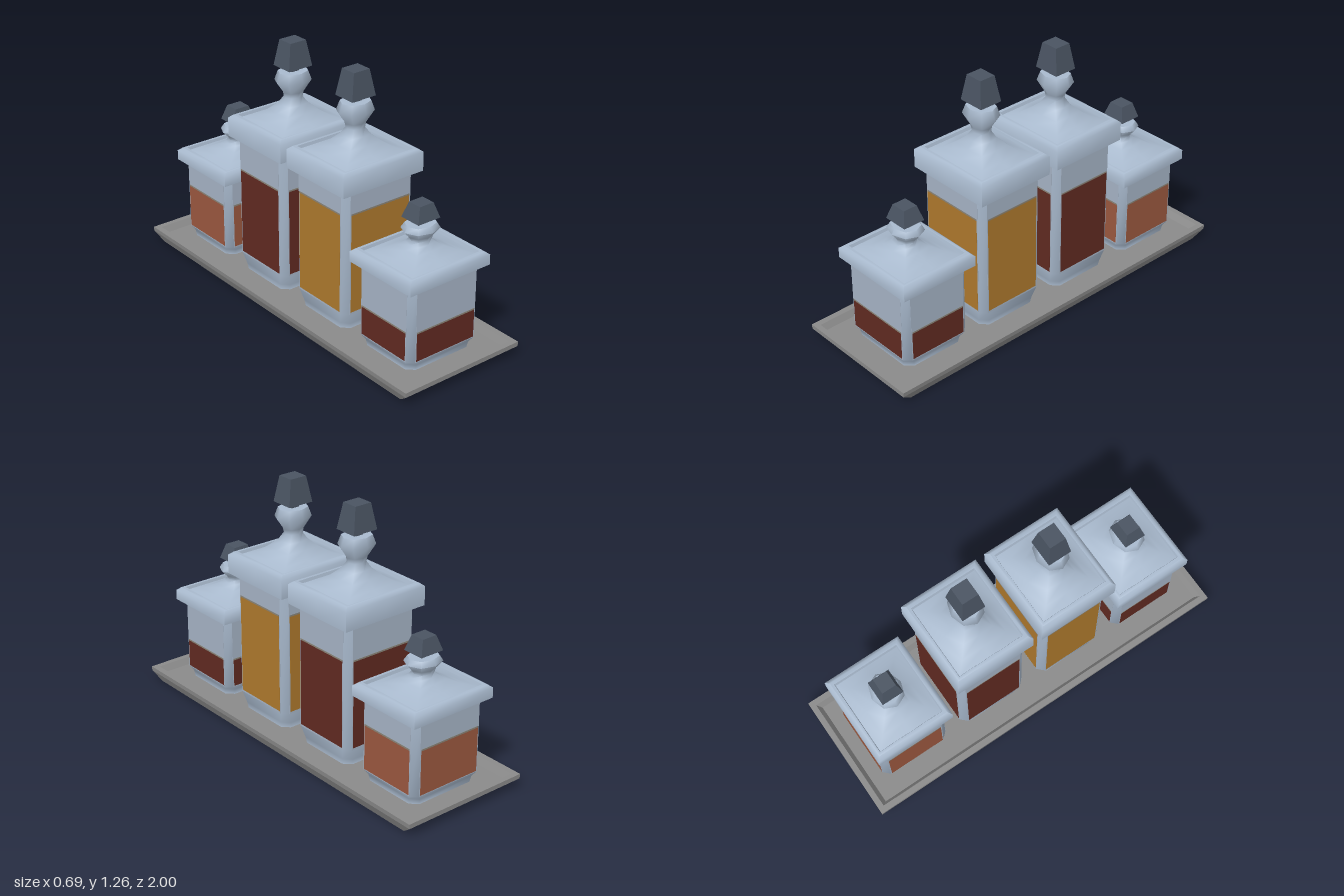
import * as THREE from 'three';
import { toCreasedNormals } from 'three/addons/utils/BufferGeometryUtils.js';

const mat = (name, color) => {
  const m = new THREE.MeshStandardMaterial({ color });
  m.name = name;
  return m;
};

// Eight-point ring: k = 1 gives a rectangle, k = 0.71 an octagon
const boxRing = (y, hx, hz, k = 1) =>
  [[1, 0], [k, k], [0, 1], [-k, k], [-1, 0], [-k, -k], [0, -1], [k, -k]].map(([x, z]) => [x * hx, y, z * hz]);

// Rectangle with cut corners
const cutRing = (y, hx, hz, c) => {
  const a = hx - c, b = hz - c;
  return [[hx, -b], [hx, b], [a, hz], [-a, hz], [-hx, b], [-hx, -b], [-a, -hz], [a, -hz]].map(([x, z]) => [x, y, z]);
};

// Skin a stack of rings, listed bottom to top
function loft(rings, crease) {
  const pos = [];
  for (let j = 0; j < rings.length - 1; j++) {
    for (let i = 0; i < 8; i++) {
      const n = (i + 1) % 8;
      const a = rings[j][i], b = rings[j][n], c = rings[j + 1][n], d = rings[j + 1][i];
      pos.push(...a, ...d, ...b, ...b, ...d, ...c);
    }
  }
  const g = new THREE.BufferGeometry();
  g.setAttribute('position', new THREE.Float32BufferAttribute(pos, 3));
  return toCreasedNormals(g, crease);
}

function add(group, name, geometry, material) {
  const m = new THREE.Mesh(geometry, material);
  m.name = name;
  group.add(m);
  return m;
}

// Thin plates on all four sides of a bottle
function sidePlates(group, name, material, y0, y1, px, pz, t) {
  const h = y1 - y0, y = (y0 + y1) / 2;
  for (const s of [1, -1]) {
    add(group, name, new THREE.BoxGeometry(px * 2, h, t * 2), material).position.set(0, y, s * 0.186);
    add(group, name, new THREE.BoxGeometry(t * 2, h, pz * 2), material).position.set(s * 0.208, y, 0);
  }
}

const SMALL = {
  foot: 0.095, lid: 0.463, top: 0.53, fill: 0.10,
  spire: [[0.515, 0.195, 0.172, 1], [0.53, 0.14, 0.122, 1], [0.555, 0.088, 0.078, 0.92], [0.575, 0.062, 0.054, 0.82],
    [0.592, 0.053, 0.046, 0.74], [0.61, 0.062, 0.052, 0.72], [0.645, 0.095, 0.08, 0.72], [0.67, 0.078, 0.064, 0.72]],
  capY: 0.695, capTop: 0.77, capHalf: [0.065, 0.04],
};
const TALL = {
  foot: 0.13, lid: 0.758, top: 0.87, fill: 0.14,
  spire: [[0.855, 0.195, 0.172, 1], [0.87, 0.143, 0.122, 1], [0.905, 0.098, 0.084, 0.95], [0.94, 0.064, 0.055, 0.85],
    [0.975, 0.045, 0.04, 0.75], [1.0, 0.053, 0.045, 0.72], [1.06, 0.095, 0.078, 0.72], [1.105, 0.077, 0.064, 0.72]],
  capY: 1.13, capTop: 1.26, capHalf: [0.069, 0.046],
};

export function createModel() {
  const root = new THREE.Group();
  root.name = 'bottleTray';
  const tray = mat('trayGrey', 0x8a8a8a);
  const glass = mat('glassBlue', 0xa9bace);
  const pane = mat('paneGrey', 0xa6b4c6);
  const stopper = mat('stopperSlate', 0x4a5462);
  const surface = mat('liquidSurface', 0x8a8478);
  const amber = mat('amberLiquid', 0xae792d);
  const red = mat('darkRedLiquid', 0x612a21);
  const orange = mat('orangeLiquid', 0x9b583f);

  // Tray with a sloping underside, upright rim and sunken floor
  add(root, 'tray', loft([
    boxRing(0, 0, 0), boxRing(0, 0.319, 0.94), boxRing(0.047, 0.341, 1), boxRing(0.07, 0.343, 1),
    boxRing(0.07, 0.312, 0.972), boxRing(0.04, 0.293, 0.95), boxRing(0.04, 0, 0),
  ], 0.2), tray);

  function bottle(d, z, liquid, level) {
    const g = new THREE.Group();
    g.name = 'bottle';
    g.position.set(0.004, 0, z);
    root.add(g);

    // Body with cut corners, narrowing at the foot; its base rim shows under the tray
    add(g, 'body', loft([
      cutRing(-0.002, 0.18, 0.152, 0.012), cutRing(-0.002, 0.194, 0.166, 0.012), cutRing(0.04, 0.19, 0.166, 0.035),
      cutRing(0.07, 0.194, 0.172, 0.035),
      cutRing(d.foot, 0.208, 0.186, 0.03), cutRing(d.lid + 0.01, 0.208, 0.186, 0.03),
    ], 1.7), glass);

    // Panes, liquid and its surface line
    sidePlates(g, 'pane', pane, d.foot, d.lid, 0.178, 0.155, 0.001);
    sidePlates(g, 'liquid', liquid, d.fill, level, 0.173, 0.15, 0.002);
    sidePlates(g, 'liquidSurface', surface, level, level + 0.008, 0.173, 0.15, 0.002);

    // Lid collar with a bevelled top and a sunken centre
    add(g, 'lid', loft([
      boxRing(d.lid, 0.19, 0.168), boxRing(d.lid, 0.237, 0.208),
      boxRing(d.top - 0.016, 0.237, 0.208), boxRing(d.top, 0.217, 0.19),
      boxRing(d.top, 0.2, 0.176), boxRing(d.top - 0.015, 0.195, 0.172),
    ], 0.9), glass);

    // Spire, neck and knob
    const knob = d.spire[d.spire.length - 1];
    add(g, 'spire', loft(d.spire.map((r) => boxRing(...r)), 1.3), glass);
    add(g, 'knobTop', loft([boxRing(...knob), boxRing(knob[0], 0, 0)], 0.3), glass);

    // Stopper stem and tapered cap
    add(g, 'stopperStem', loft([boxRing(knob[0] - 0.005, 0.02, 0.018), boxRing(d.capY + 0.005, 0.024, 0.021)], 0.3), stopper);
    const [low, high] = d.capHalf;
    add(g, 'stopperCap', loft([
      boxRing(d.capY, 0, 0), boxRing(d.capY, low, low * 0.88),
      boxRing(d.capTop, high, high * 0.92), boxRing(d.capTop, 0, 0),
    ], 0.3), stopper);
  }

  bottle(SMALL, 0.685, red, 0.243);
  bottle(TALL, 0.225, amber, 0.645);
  bottle(TALL, -0.24, red, 0.585);
  bottle(SMALL, -0.7, orange, 0.325);
  return root;
}
